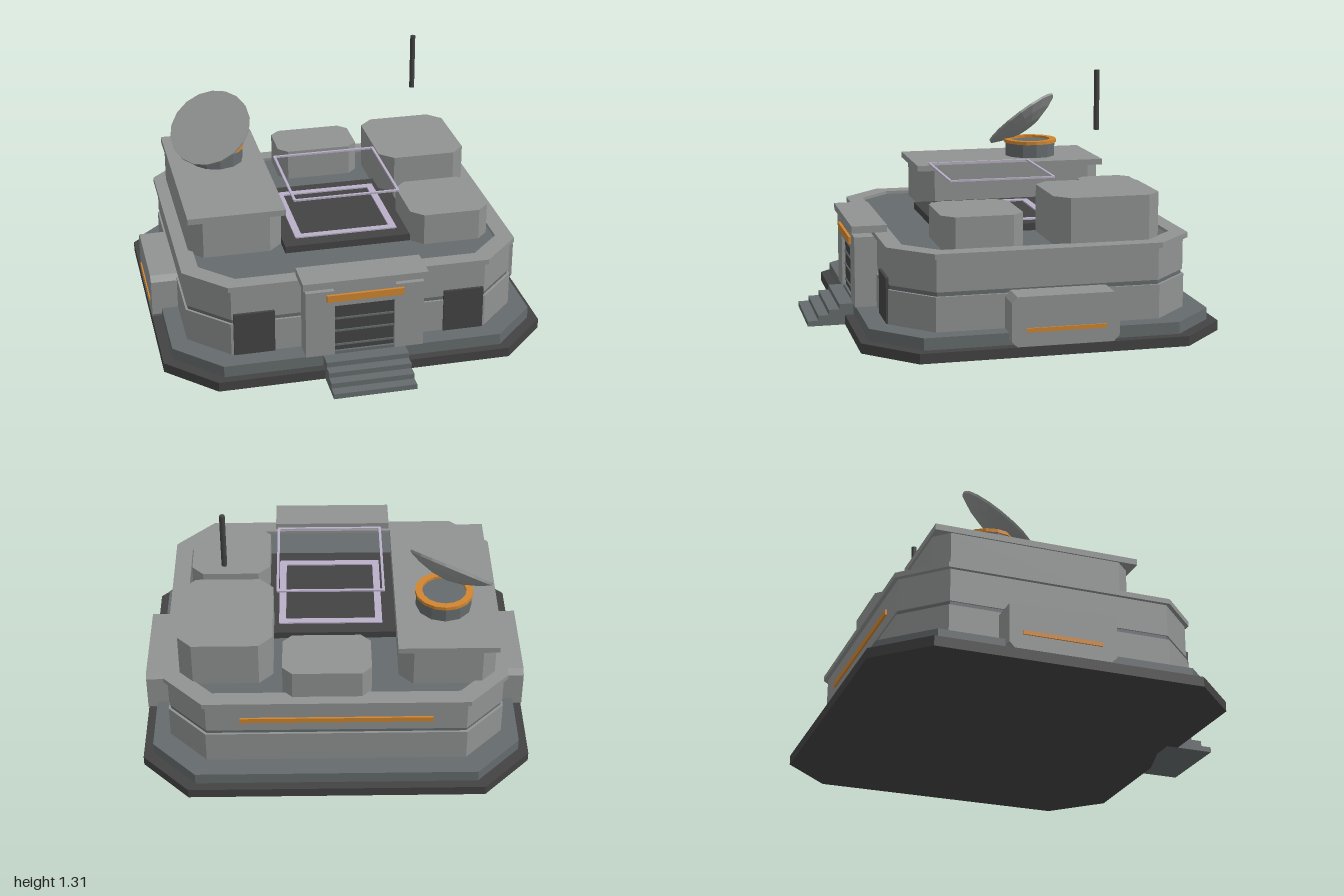
import * as THREE from 'three';

const mat = (name, color, extra = {}) => {
  const m = new THREE.MeshStandardMaterial({ color, ...extra });
  m.name = name;
  return m;
};

export function createModel() {
  const light = mat('light grey', 0x919393);
  const mid = mat('slate grey', 0x656b6d);
  const dark = mat('charcoal', 0x434343);
  const orange = mat('orange', 0xd08530);
  const glow = mat('pale lavender', 0xb9b0c8);

  const root = new THREE.Group();
  root.name = 'outpost';

  const add = (name, geo, material, x = 0, y = 0, z = 0) => {
    const m = new THREE.Mesh(geo, material);
    m.name = name;
    m.position.set(x, y, z);
    root.add(m);
    return m;
  };

  // box given by its lower and upper limits on each axis
  const box = (name, material, [x0, x1], [y0, y1], [z0, z1]) =>
    add(name, new THREE.BoxGeometry(x1 - x0, y1 - y0, z1 - z0), material,
      (x0 + x1) / 2, (y0 + y1) / 2, (z0 + z1) / 2);

  // rectangle outline with cut corners
  const outline = (target, hx, hz, c) => {
    const p = [[hx, -hz + c], [hx, hz - c], [hx - c, hz], [-hx + c, hz],
      [-hx, hz - c], [-hx, -hz + c], [-hx + c, -hz], [hx - c, -hz]];
    return target.setFromPoints(p.map(([x, y]) => new THREE.Vector2(x, y)));
  };
  const rawPrism = (hx, hz, c, depth, hole) => {
    const s = outline(new THREE.Shape(), hx, hz, c);
    if (hole) s.holes.push(outline(new THREE.Path(), ...hole));
    return new THREE.ExtrudeGeometry(s, { depth, bevelEnabled: false });
  };
  // upright prism with cut corners
  const prism = (name, material, [x0, x1], [y0, y1], [z0, z1], c, hole) =>
    add(name, rawPrism((x1 - x0) / 2, (z1 - z0) / 2, c, y1 - y0, hole).rotateX(-Math.PI / 2),
      material, (x0 + x1) / 2, y0, (z0 + z1) / 2);

  // foundation and main walls
  prism('foundation', dark, [-0.985, 0.985], [0, 0.05], [-1, 0.81], 0.24);
  prism('plinth', mid, [-0.935, 0.935], [0.05, 0.11], [-0.953, 0.765], 0.225);
  prism('lowerWall', light, [-0.85, 0.85], [0.11, 0.282], [-0.845, 0.66], 0.195);
  prism('wallBand', mid, [-0.838, 0.838], [0.282, 0.304], [-0.833, 0.648], 0.19);
  prism('upperWall', light, [-0.845, 0.845], [0.304, 0.468], [-0.84, 0.655], 0.195);
  prism('roof', mid, [-0.8, 0.8], [0.46, 0.478], [-0.8, 0.61], 0.18);
  prism('parapet', light, [-0.864, 0.864], [0.468, 0.494], [-0.86, 0.67], 0.2, [0.775, 0.68, 0.16]);

  // entrance
  for (const s of [-1, 1]) {
    const span = (a, b) => (s > 0 ? [a, b] : [-b, -a]);
    box('entrancePillar', light, span(0.152, 0.3), [0.11, 0.47], [0.62, 0.77]);
    box('frontHatch', dark, span(0.435, 0.642), [0.11, 0.337], [0.64, 0.67]);

    // side pods, outline with cut corners seen from the side
    const pod = add('sidePod', rawPrism(0.267, 0.122, 0.028, 0.165).rotateY(s * Math.PI / 2),
      light, s * 0.82, 0.173, -0.139);
    pod.scale.set(1, 1, 1);
    box('sidePodStrip', orange, span(0.984, 0.992), [0.122, 0.142], [-0.34, 0.055]);
  }
  box('entranceHeader', light, [-0.155, 0.155], [0.385, 0.495], [0.62, 0.77]);
  box('entranceLintel', light, [-0.316, 0.316], [0.494, 0.53], [0.605, 0.785]);
  box('entranceSign', orange, [-0.195, 0.195], [0.416, 0.452], [0.768, 0.784]);
  box('entranceDoor', dark, [-0.153, 0.153], [0.11, 0.386], [0.64, 0.752]);
  for (const y of [0.155, 0.235, 0.305])
    box('doorSlat', mid, [-0.152, 0.152], [y - 0.005, y + 0.005], [0.745, 0.757]);
  box('doorSill', mid, [-0.153, 0.153], [0.11, 0.124], [0.745, 0.765]);

  // front steps
  for (let i = 0; i < 4; i++)
    box('step', mid, [-0.21, 0.21], [0, 0.027 * (i + 1)], [0.75, 1 - 0.054 * i]);

  // light strip on the back wall
  box('backStrip', orange, [-0.48, 0.48], [0.36, 0.387], [-0.85, -0.83]);

  // roof buildings
  prism('longBlock', light, [-0.798, -0.315], [0.47, 0.685], [-0.7, 0.305], 0.07);
  box('longBlockRoof', light, [-0.806, -0.305], [0.683, 0.714], [-0.71, 0.33]);
  prism('backBlock', light, [-0.175, 0.266], [0.47, 0.643], [-0.808, -0.513], 0.048);
  prism('tallBlock', light, [0.314, 0.784], [0.47, 0.718], [-0.684, -0.146], 0.07);
  prism('frontBlock', light, [0.338, 0.75], [0.47, 0.643], [0, 0.408], 0.06);

  // landing pad with its marking and the hovering frame
  const cx = 0.021;
  box('landingPad', dark, [-0.316, 0.37], [0.47, 0.515], [-0.336, 0.35]);
  const frame = (name, half, inner, y, h) => {
    const r = [cx - half, cx + half];
    prism(name, glow, r, [y, y + h], [-half + 0.004, half + 0.004], 0.004, [inner, inner, 0.004]);
  };
  frame('padMarking', 0.268, 0.232, 0.514, 0.008);
  frame('hoverFrame', 0.277, 0.264, 0.73, 0.009);

  // dish mount
  const mx = -0.55, mz = -0.36;
  const drum = new THREE.CylinderGeometry(0.142, 0.142, 0.08, 12).toNonIndexed();
  drum.computeVertexNormals();
  add('dishMount', drum, mid, mx, 0.752, mz);
  const ring = new THREE.Shape().absarc(0, 0, 0.148, 0, Math.PI * 2);
  ring.holes.push(new THREE.Path().absarc(0, 0, 0.112, 0, Math.PI * 2));
  add('mountRing', new THREE.ExtrudeGeometry(ring, { depth: 0.018, bevelEnabled: false, curveSegments: 8 })
    .rotateX(-Math.PI / 2), orange, mx, 0.788, mz);

  // dish with a shallow domed back
  const profile = [[0, -0.07], [0.08, -0.06], [0.16, -0.035], [0.222, -0.006], [0.222, 0.006], [0, 0.006]];
  const dishGeo = new THREE.LatheGeometry(profile.map(([x, y]) => new THREE.Vector2(x, y)), 18).toNonIndexed();
  dishGeo.computeVertexNormals();
  const dish = add('dish', dishGeo, light, -0.585, 0.915, -0.32);
  dish.quaternion.setFromUnitVectors(new THREE.Vector3(0, 1, 0),
    new THREE.Vector3(-0.39, 0.76, 0.52).normalize());

  // antenna mast
  add('antenna', new THREE.CylinderGeometry(0.014, 0.014, 0.297, 8), dark, 0.546, 1.16, -0.411);

  return root;
}
